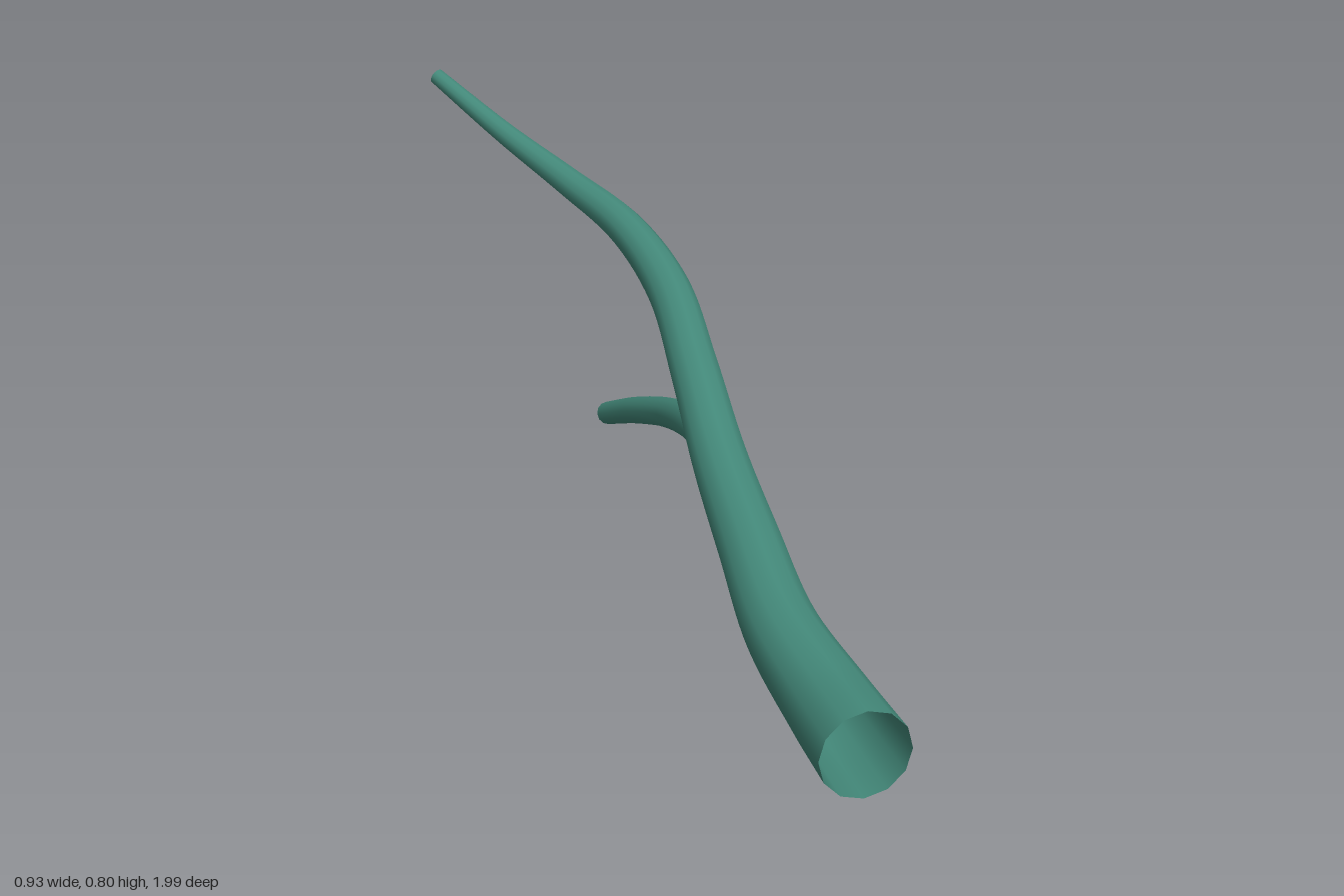
import * as THREE from 'three';

const SIDES = 12;

// Open tube through [x, y, z, radius] stations, tapering smoothly along its length
function taperedTube(name, stations, segments, material) {
  const curve = new THREE.CatmullRomCurve3(stations.map(([x, y, z]) => new THREE.Vector3(x, y, z)));
  const radii = new THREE.CatmullRomCurve3(stations.map((s, i) => new THREE.Vector3(i, s[3], 0)));
  const geometry = new THREE.TubeGeometry(curve, segments, 1, SIDES, false);
  const pos = geometry.attributes.position;
  const p = new THREE.Vector3();
  for (let i = 0; i <= segments; i++) {
    const centre = curve.getPointAt(i / segments);
    const radius = radii.getPoint(curve.getUtoTmapping(i / segments)).y;
    for (let j = 0; j <= SIDES; j++) {
      const k = i * (SIDES + 1) + j;
      p.fromBufferAttribute(pos, k).sub(centre).multiplyScalar(radius).add(centre);
      pos.setXYZ(k, p.x, p.y, p.z);
    }
  }
  const mesh = new THREE.Mesh(geometry, material);
  mesh.name = name;
  return mesh;
}

export function createModel() {
  const group = new THREE.Group();
  group.name = 'forkedBranch';
  const green = new THREE.MeshStandardMaterial({ color: 0x438879, side: THREE.DoubleSide });
  green.name = 'tealGreen';

  // Main stem, sweeping back and up to a thin tip
  group.add(taperedTube('mainStem', [
    [-0.395, 0.205, 0.957, 0.079],
    [-0.33, 0.211, 0.8, 0.074],
    [-0.255, 0.243, 0.6, 0.065],
    [-0.152, 0.298, 0.4, 0.058],
    [-0.05, 0.365, 0.2, 0.052],
    [0.058, 0.453, 0, 0.047],
    [0.16, 0.535, -0.2, 0.043],
    [0.215, 0.597, -0.4, 0.037],
    [0.228, 0.641, -0.6, 0.03],
    [0.21, 0.706, -0.8, 0.023],
    [0.176, 0.794, -0.993, 0.017],
  ], 64, green));

  // Side shoot, leaving the underside of the stem and drooping
  group.add(taperedTube('sideShoot', [
    [-0.205, 0.25, 0.53, 0.046],
    [-0.13, 0.262, 0.4, 0.046],
    [-0.005, 0.268, 0.2, 0.045],
    [0.125, 0.25, 0, 0.041],
    [0.245, 0.217, -0.2, 0.037],
    [0.34, 0.163, -0.4, 0.033],
    [0.402, 0.093, -0.6, 0.029],
    [0.44, 0.029, -0.752, 0.025],
  ], 48, green));

  return group;
}
